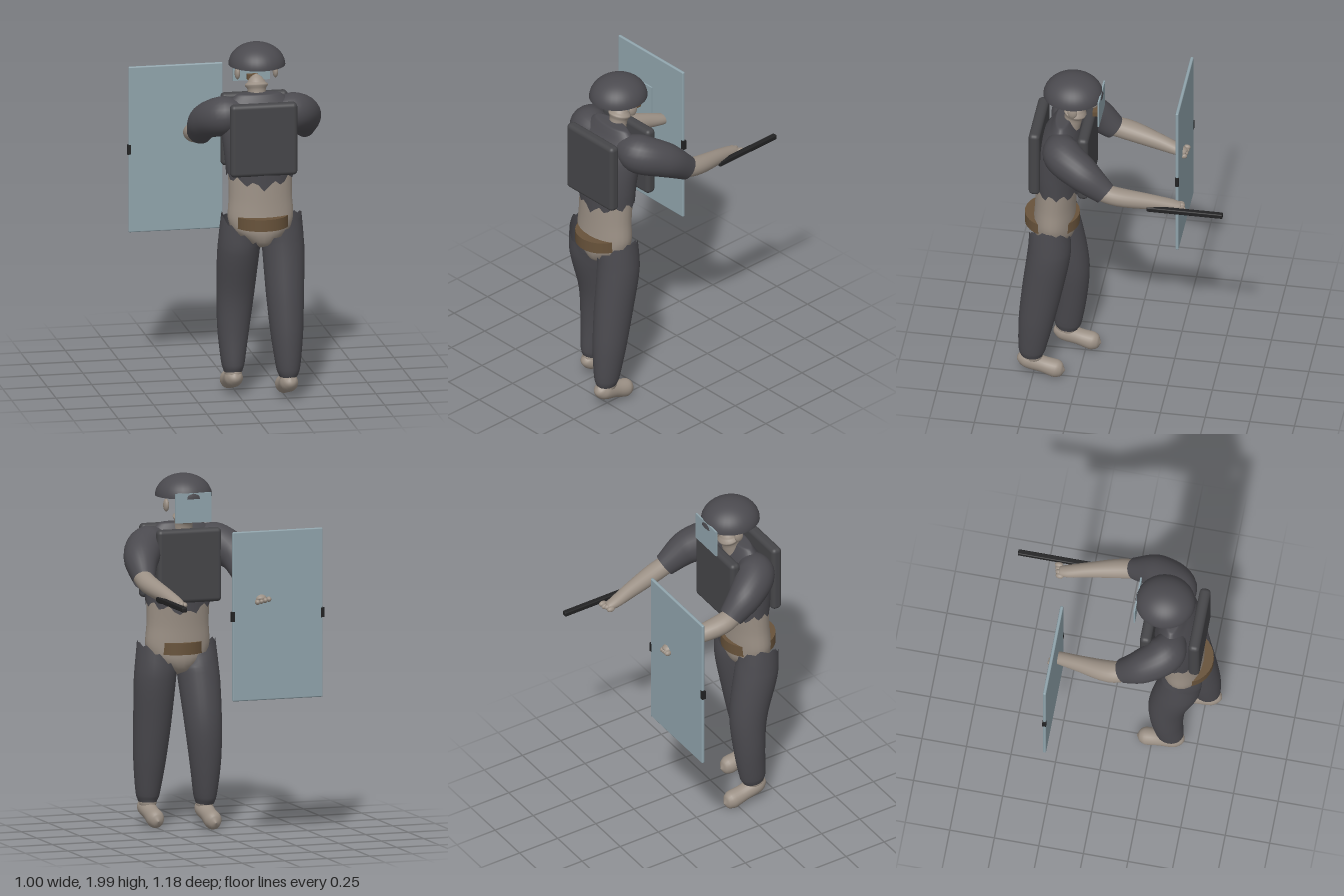
import * as THREE from 'three';
import { RoundedBoxGeometry } from 'three/addons/geometries/RoundedBoxGeometry.js';

const mat = (name, color, side = THREE.FrontSide) => {
  const m = new THREE.MeshStandardMaterial({ color, side });
  m.name = name;
  return m;
};
const CX = 0.12; // body centre line

// Smooth tube through rings [x, y, z, ru, rv]; ref fixes the ring orientation
function loft(rings, ref, steps = 24, sides = 24, adjust = null) {
  const centre = new THREE.CatmullRomCurve3(rings.map(r => new THREE.Vector3(r[0], r[1], r[2])));
  const radii = new THREE.CatmullRomCurve3(rings.map(r => new THREE.Vector3(r[3], r[4] ?? r[3], 0)));
  const pos = [], idx = [];
  for (let i = 0; i <= steps; i++) {
    const t = i / steps, c = centre.getPoint(t), r = radii.getPoint(t);
    const tan = centre.getTangent(t);
    const u = new THREE.Vector3().crossVectors(ref, tan).normalize();
    const v = new THREE.Vector3().crossVectors(tan, u);
    for (let j = 0; j < sides; j++) {
      const a = (j / sides) * Math.PI * 2;
      const p = c.clone().addScaledVector(u, Math.cos(a) * Math.max(r.x, 0.001))
        .addScaledVector(v, Math.sin(a) * Math.max(r.y, 0.001));
      if (adjust) adjust(p, t, j);
      pos.push(p.x, p.y, p.z);
      if (i < steps) {
        const k = (j + 1) % sides, A = i * sides, B = A + sides;
        idx.push(A + j, A + k, B + j, A + k, B + k, B + j);
      }
    }
  }
  const g = new THREE.BufferGeometry();
  g.setAttribute('position', new THREE.Float32BufferAttribute(pos, 3));
  g.setIndex(idx);
  g.computeVertexNormals();
  return g;
}

export function createModel() {
  const model = new THREE.Group();
  const cloth = mat('charcoal cloth', 0x4b4a4f, THREE.DoubleSide);
  const armour = mat('dark armour', 0x454548);
  const skin = mat('skin', 0x9b9085);
  const leather = mat('brown leather', 0x67523a);
  const black = mat('black rubber', 0x222223);
  const glass = mat('pale blue plastic', 0x8fa3ab);
  const Y = new THREE.Vector3(0, 1, 0), Z = new THREE.Vector3(0, 0, 1);

  const add = (name, geo, material, x = 0, y = 0, z = 0, parent = model) => {
    const m = new THREE.Mesh(geo, material);
    m.name = name;
    m.position.set(x, y, z);
    parent.add(m);
    return m;
  };
  const ball = (name, material, x, y, z, rx, ry = rx, rz = rx) =>
    add(name, new THREE.SphereGeometry(1, 16, 12), material, x, y, z).scale.set(rx, ry, rz);

  // Bare midriff and hips
  add('midriff', loft([
    [CX, 0.86, 0.41, 0.005, 0.005], [CX, 0.89, 0.41, 0.07, 0.09], [CX, 0.97, 0.405, 0.165, 0.12],
    [CX, 1.05, 0.4, 0.185, 0.114], [CX, 1.16, 0.395, 0.178, 0.112], [CX, 1.32, 0.385, 0.18, 0.115],
  ], Z), skin);

  // Shirt with a ragged hem
  add('shirt', loft([
    [CX, 1.24, 0.385, 0.187, 0.123], [CX, 1.4, 0.383, 0.2, 0.13], [CX, 1.54, 0.365, 0.215, 0.122],
    [CX, 1.64, 0.352, 0.205, 0.085], [CX, 1.7, 0.35, 0.15, 0.055], [CX, 1.724, 0.35, 0.115, 0.04],
    [CX, 1.725, 0.35, 0.002, 0.002],
  ], Z, 24, 36, (p, t, j) => {
    const low = Math.max(0, 1 - t * 8);
    const middle = 1 - Math.min(1, Math.abs(p.x - CX) / 0.19);
    p.y += low * (0.035 - 0.055 * middle + 0.02 * Math.sin(j * 1.9));
  }), cloth);

  // Belt
  add('belt', new THREE.CylinderGeometry(0.152, 0.152, 0.066, 32), leather, CX, 1.021, 0.415);

  // Trouser legs: raised at the outer hip, cut low at the crotch
  const legs = [
    { s: -1, rings: [[0.01, 0.97, 0.41, 0.112, 0.115], [0.0, 0.87, 0.392, 0.117, 0.123],
      [-0.008, 0.6, 0.335, 0.105, 0.107], [-0.02, 0.38, 0.333, 0.088, 0.09],
      [-0.025, 0.18, 0.352, 0.062, 0.075], [-0.025, 0.145, 0.355, 0.05, 0.06]] },
    { s: 1, rings: [[0.235, 0.97, 0.41, 0.112, 0.115], [0.245, 0.87, 0.412, 0.117, 0.12],
      [0.248, 0.6, 0.452, 0.105, 0.112], [0.252, 0.38, 0.485, 0.09, 0.098],
      [0.255, 0.18, 0.508, 0.064, 0.073], [0.255, 0.145, 0.508, 0.05, 0.06]] },
  ];
  for (const { s, rings } of legs) {
    add('trouserLeg', loft(rings, Z, 24, 28, (p, t, j) => {
      const top = Math.max(0, 1 - t * 6);
      p.y += top * ((p.x - rings[0][0]) * s * 0.65 + 0.012 * Math.sin(j * 2.1));
    }), cloth);
  }

  // Feet, heel to toe
  const foot = (x, z) => add('foot', loft([
    [x, 0.15, z + 0.065, 0.002], [x, 0.137, z + 0.055, 0.035, 0.04], [x, 0.112, z + 0.02, 0.052, 0.052],
    [x, 0.085, z - 0.06, 0.047, 0.046], [x + 0.002, 0.066, z - 0.13, 0.05, 0.052],
    [x + 0.002, 0.058, z - 0.165, 0.035, 0.04], [x + 0.002, 0.056, z - 0.185, 0.002],
  ], Y), skin);
  foot(-0.025, 0.35);
  foot(0.255, 0.508);
  ball('ankle', skin, -0.025, 0.14, 0.36, 0.048, 0.05, 0.06);
  ball('ankle', skin, 0.255, 0.14, 0.508, 0.048, 0.05, 0.06);

  // Sleeves
  add('rightSleeve', loft([[0.19, 1.62, 0.36, 0.06], [0.32, 1.6, 0.325, 0.11],
    [0.402, 1.548, 0.205, 0.098], [0.435, 1.45, 0.068, 0.06, 0.068]], Y), cloth);
  add('leftSleeve', loft([[0.05, 1.62, 0.37, 0.06], [-0.075, 1.6, 0.335, 0.11],
    [-0.152, 1.545, 0.225, 0.097], [-0.168, 1.452, 0.115, 0.07, 0.068]], Y), cloth);

  // Forearms
  add('rightForearm', loft([[0.432, 1.465, 0.12, 0.05], [0.43, 1.435, 0.01, 0.055, 0.052],
    [0.4, 1.398, -0.18, 0.043], [0.378, 1.375, -0.3, 0.036, 0.03], [0.375, 1.37, -0.345, 0.025, 0.018],
    [0.375, 1.37, -0.35, 0.001]], Y), skin);
  add('leftForearm', loft([[-0.168, 1.465, 0.16, 0.05], [-0.18, 1.437, 0.05, 0.062, 0.055],
    [-0.15, 1.395, -0.14, 0.045], [-0.128, 1.368, -0.26, 0.036, 0.03], [-0.126, 1.362, -0.29, 0.025, 0.018],
    [-0.126, 1.36, -0.292, 0.001]], Y), skin);

  // Curled fingers
  for (let i = 0; i < 4; i++) {
    ball('rightFinger', skin, 0.348 + i * 0.02, 1.365 + (i % 2) * 0.006, -0.338 - i * 0.005, 0.016, 0.016, 0.024);
    ball('leftFinger', skin, -0.165 + i * 0.021, 1.365 - i * 0.005, -0.292 + i * 0.003, 0.014, 0.015, 0.02);
  }

  // Padded chest and back plates
  const plate = () => new RoundedBoxGeometry(0.376, 0.412, 0.062, 4, 0.024);
  add('backPlate', plate(), armour, CX, 1.495, 0.49);
  add('chestPlate', plate(), armour, CX, 1.495, 0.218);

  // Neck, ears, eyes and mouth
  add('neck', loft([[CX, 1.66, 0.31, 0.05], [CX, 1.73, 0.295, 0.05], [CX, 1.77, 0.285, 0.05],
    [CX, 1.8, 0.282, 0.03], [CX, 1.818, 0.282, 0.002]], Z, 16), skin);
  for (const s of [-1, 1]) {
    ball('ear', skin, CX + s * 0.107, 1.828, 0.286, 0.015, 0.036, 0.027);
    ball('eye', skin, CX + s * 0.048, 1.857, 0.177, 0.022);
  }
  add('mouth', new THREE.BoxGeometry(0.06, 0.028, 0.03), leather, CX, 1.773, 0.172);

  // Domed helmet and visor
  add('helmet', new THREE.SphereGeometry(1, 32, 16, 0, Math.PI * 2, 0, Math.PI / 2), cloth, CX, 1.877, 0.298)
    .scale.set(0.157, 0.123, 0.166);
  add('visor', new THREE.BoxGeometry(0.21, 0.165, 0.009), glass, CX, 1.828, 0.142);

  // Riot shield with edge clips
  add('shield', new RoundedBoxGeometry(0.53, 0.945, 0.018, 2, 0.007), glass, -0.225, 1.273, -0.268);
  for (const s of [-1, 1]) {
    add('shieldClip', new THREE.BoxGeometry(0.02, 0.055, 0.021), black, -0.225 + s * 0.262, 1.273, -0.268);
  }

  // Baton
  add('baton', new RoundedBoxGeometry(0.03, 0.028, 0.425, 2, 0.006), black, 0.436, 1.378, -0.376);

  return model;
}
